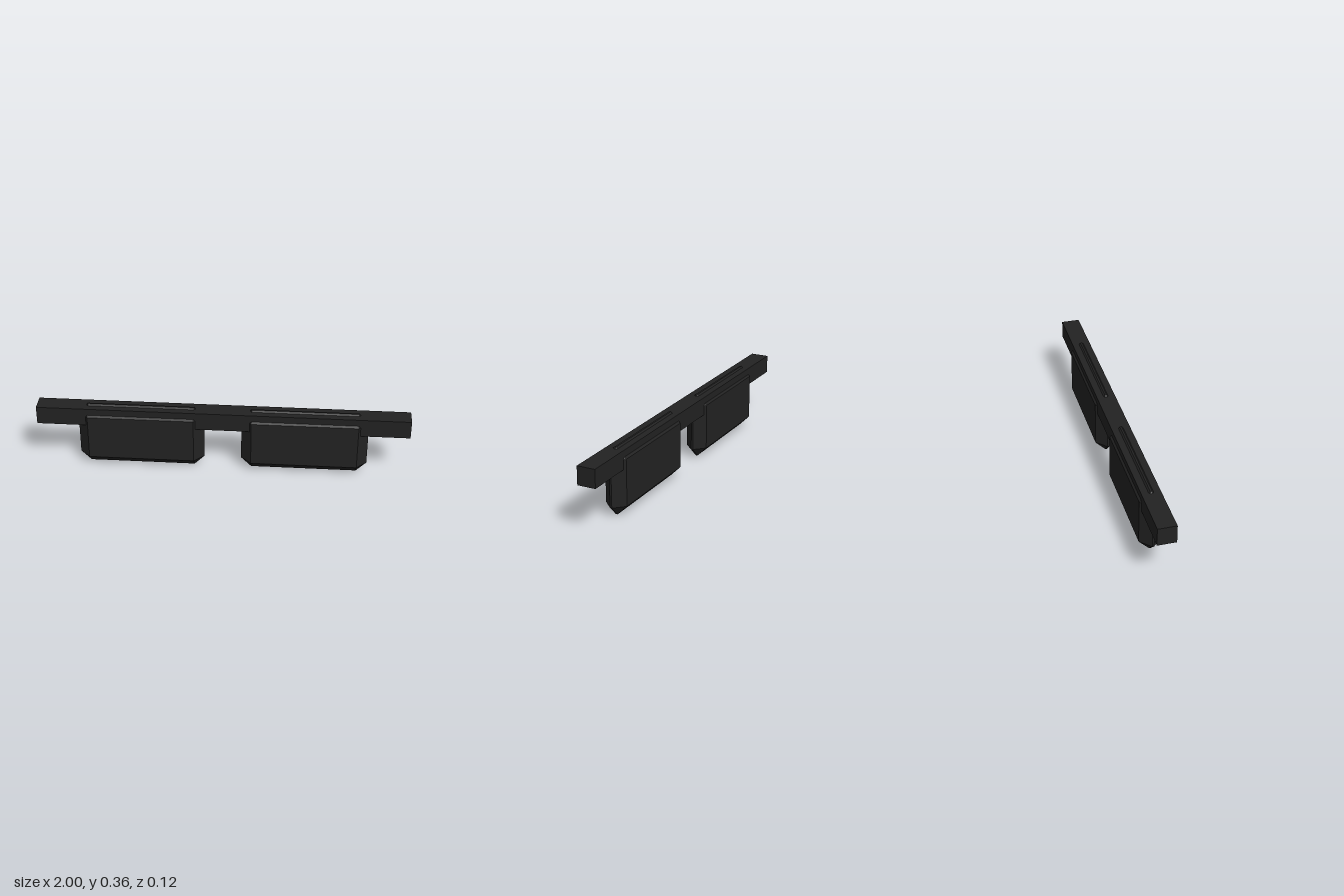
import * as THREE from 'three';
import { ConvexGeometry } from 'three/addons/geometries/ConvexGeometry.js';

// Box with every edge and corner cut off at 45 degrees (half sizes and cut).
function chamferedBox(hx, hy, hz, cut) {
  const points = [];
  for (const sx of [-1, 1]) for (const sy of [-1, 1]) for (const sz of [-1, 1]) {
    points.push(
      new THREE.Vector3(sx * hx, sy * (hy - cut), sz * (hz - cut)),
      new THREE.Vector3(sx * (hx - cut), sy * hy, sz * (hz - cut)),
      new THREE.Vector3(sx * (hx - cut), sy * (hy - cut), sz * hz),
    );
  }
  return new ConvexGeometry(points);
}

export function createModel() {
  const group = new THREE.Group();
  const black = new THREE.MeshStandardMaterial({ color: 0x222222 });
  black.name = 'black';

  // Straight brow bar
  const bar = new THREE.Mesh(new THREE.BoxGeometry(2, 0.1, 0.1), black);
  bar.name = 'browBar';
  bar.position.y = 0.302;
  group.add(bar);

  // Pair of bevelled lenses hanging from the bar
  const lensGeometry = chamferedBox(0.34, 0.18, 0.06, 0.055);
  for (const [name, side] of [['leftLens', 1], ['rightLens', -1]]) {
    const lens = new THREE.Mesh(lensGeometry, black);
    lens.name = name;
    lens.position.set(side * 0.44, 0.18, 0);
    group.add(lens);
  }
  return group;
}
